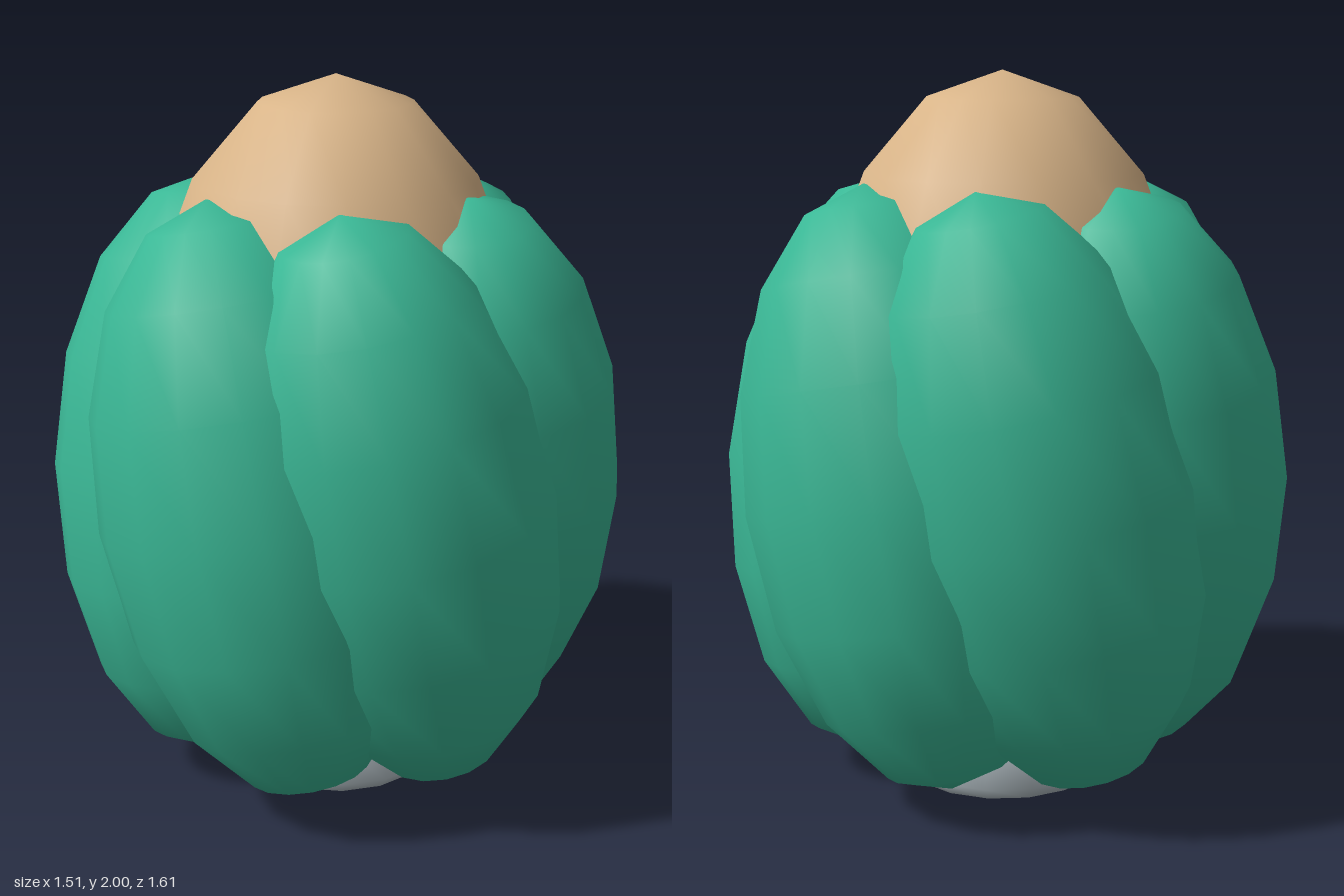
import * as THREE from 'three';

const material = (name, color) => {
  const m = new THREE.MeshStandardMaterial({ color });
  m.name = name;
  return m;
};

export function createModel() {
  const group = new THREE.Group();
  group.name = 'flowerBud';
  const green = material('petalGreen', 0x3ab795);
  const tan = material('coreTan', 0xd8b488);
  const grey = material('baseGrey', 0xb8c4ca);

  const add = (name, geometry, mat) => {
    const mesh = new THREE.Mesh(geometry, mat);
    mesh.name = name;
    group.add(mesh);
    return mesh;
  };

  // tall egg-shaped core showing at the top
  const ball = new THREE.SphereGeometry(1, 16, 8);
  const core = add('core', ball, tan);
  core.scale.set(0.55, 0.95, 0.55);
  core.position.y = 1.05;

  // six overlapping petals, each leaning sideways around the core
  const count = 6, ring = 0.36, lean = 0.2;
  for (let i = 0; i < count; i++) {
    const a = (i / count) * Math.PI * 2;
    const petal = add(`petal${i + 1}`, ball, green);
    petal.scale.set(0.445, 0.835, 0.445);
    petal.position.set(Math.sin(a) * ring, 0.885, Math.cos(a) * ring);
    petal.rotation.set(Math.sin(a) * lean, 0, Math.cos(a) * lean);
  }

  // round foot with a bevelled lower edge
  const profile = [[0, 0], [0.29, 0], [0.325, 0.04], [0.325, 0.15], [0.29, 0.19], [0, 0.19]]
    .map(([x, y]) => new THREE.Vector2(x, y));
  add('base', new THREE.LatheGeometry(profile, 16), grey);

  return group;
}
